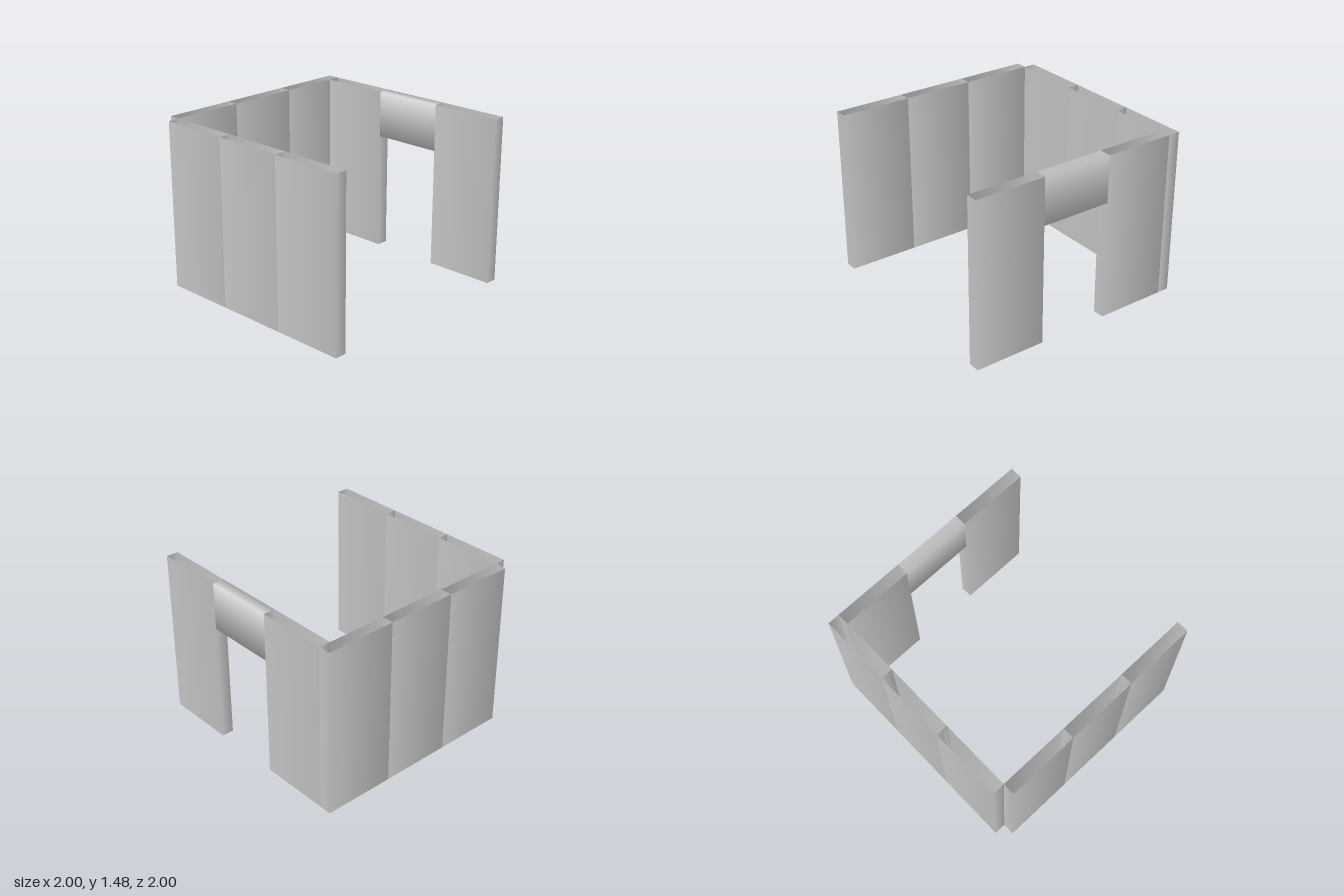
import * as THREE from 'three';

const H = 1.475;     // wall height
const T = 0.105;     // panel thickness
const W = 0.632;     // panel width
const DOOR = 1.06;   // underside of the lintel

const material = new THREE.MeshStandardMaterial({ color: 0xcccccc, side: THREE.DoubleSide });

// Open-ended rectangular sleeve along y; corner normals stay diagonal for soft shading
function sleeve(sx, sy, sz) {
  const g = new THREE.CylinderGeometry(Math.SQRT1_2, Math.SQRT1_2, 1, 4, 1, true, Math.PI / 4);
  g.attributes.position.applyMatrix4(new THREE.Matrix4().makeScale(sx, sy, sz));
  return g;
}

export function createModel() {
  const model = new THREE.Group();

  const add = (name, geometry, x, y, z) => {
    const mesh = new THREE.Mesh(geometry, material);
    mesh.name = name;
    mesh.position.set(x, y, z);
    model.add(mesh);
  };

  const side = 1 - T / 2;
  for (let i = 0; i < 3; i++) {
    const step = 1 - W * (i + 0.5);
    // Back wall reaches the +x corner, leaving a notch at the -x corner
    add('backPanel', sleeve(W, H, T), step, H / 2, -side);
    // Side walls run from the front edge to the back wall
    add('rightPanel', sleeve(T, H, W), -side, H / 2, step);
    if (i !== 1) add('leftPanel', sleeve(T, H, W), side, H / 2, step);
  }

  // Lintel over the doorway: a sleeve lying along z
  const lintel = sleeve(T, W, H - DOOR).rotateX(Math.PI / 2);
  add('doorLintel', lintel, side, (H + DOOR) / 2, 1 - W * 1.5);

  return model;
}
